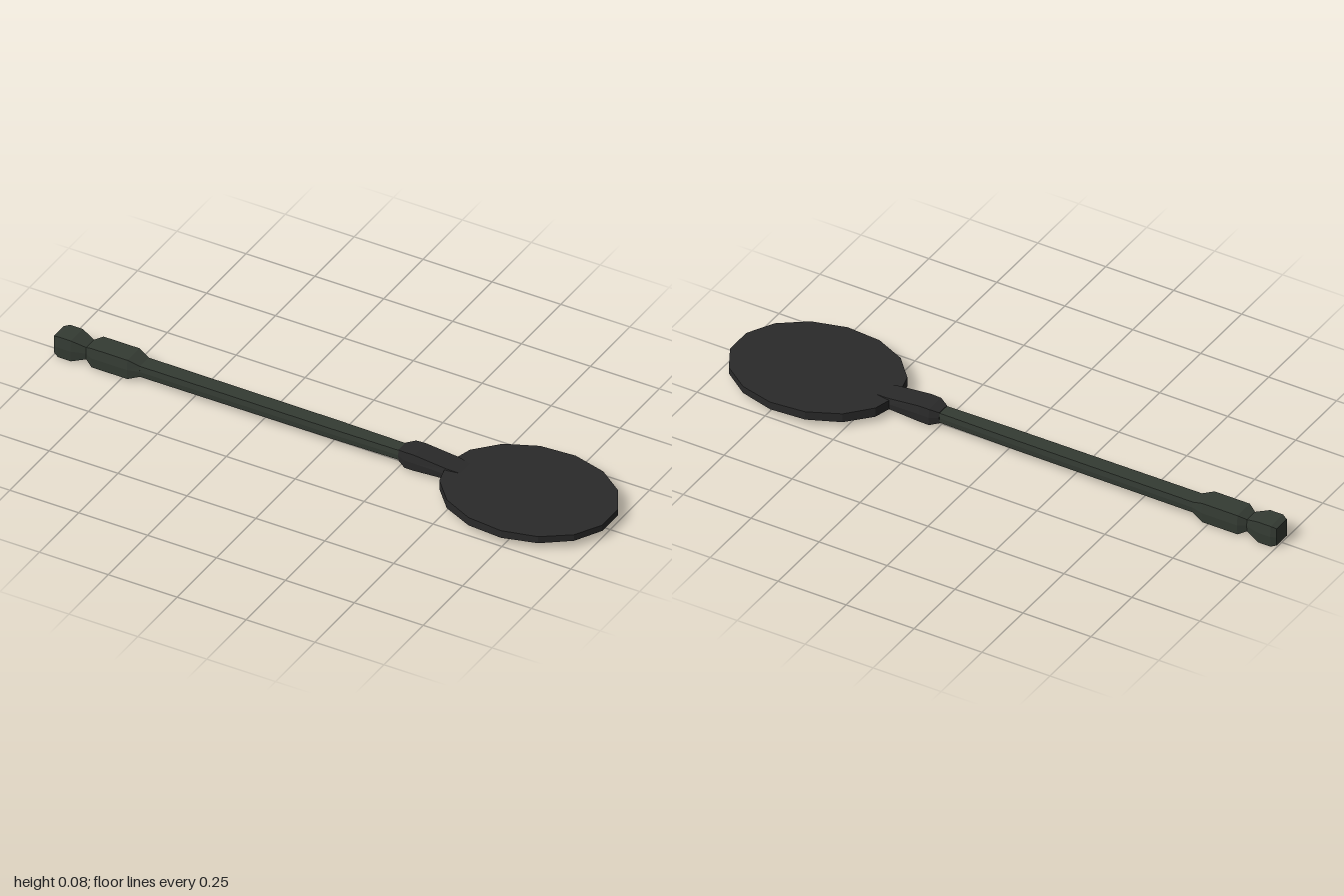
import * as THREE from 'three';

const green = new THREE.MeshStandardMaterial({ color: 0x343b33, flatShading: true });
const black = new THREE.MeshStandardMaterial({ color: 0x2a2a2a, flatShading: true });

// Joins rings of [x, y, z] points into a closed solid.
function loft(name, rings, material) {
  const n = rings[0].length, index = [];
  const points = rings.flat();
  for (let r = 0; r < rings.length - 1; r++) {
    for (let i = 0; i < n; i++) {
      const a = r * n + i, b = r * n + (i + 1) % n;
      index.push(a, b, a + n, b, b + n, a + n);
    }
  }
  // End caps fan out from the ring centres
  for (const [r, flip] of [[0, true], [rings.length - 1, false]]) {
    const c = points.length;
    points.push([0, 1, 2].map(k => rings[r].reduce((s, p) => s + p[k], 0) / n));
    for (let i = 0; i < n; i++) {
      const a = r * n + i, b = r * n + (i + 1) % n;
      index.push(c, flip ? b : a, flip ? a : b);
    }
  }
  const g = new THREE.BufferGeometry();
  g.setAttribute('position', new THREE.Float32BufferAttribute(points.flat(), 3));
  g.setIndex(index);
  const flat = g.toNonIndexed();
  flat.computeVertexNormals();
  const mesh = new THREE.Mesh(flat, material);
  mesh.name = name;
  return mesh;
}

// Six-sided bar section with slightly bulging sides.
function section([x, h, w, cy = 0.041]) {
  return [[1, 0.93], [0, 1], [-1, 0.93], [-1, -0.93], [0, -1], [1, -0.93]]
    .map(([u, v]) => [x, cy + u * h, -v * w]).reverse();
}

const bar = (name, stations, material) => loft(name, stations.map(section), material);

export function createModel() {
  const model = new THREE.Group();
  model.name = 'paddle';

  // Pommel and grip: x, half height, half width
  model.add(bar('pommel', [
    [-1, 0.032, 0.033], [-0.982, 0.039, 0.041], [-0.935, 0.039, 0.041], [-0.885, 0.022, 0.026],
  ], green));
  model.add(bar('grip', [
    [-0.888, 0.022, 0.026], [-0.86, 0.036, 0.041], [-0.73, 0.036, 0.041], [-0.69, 0.02, 0.03],
  ], green));
  model.add(bar('shaft', [[-0.71, 0.02, 0.03], [0, 0.019, 0.028], [0.27, 0.018, 0.024]], green));

  // Socket tapering into the blade
  model.add(bar('neck', [
    [0.245, 0.02, 0.025], [0.275, 0.03, 0.04], [0.31, 0.03, 0.041, 0.042],
    [0.43, 0.02, 0.041, 0.04], [0.5, 0.014, 0.03, 0.038],
  ], black));

  // Round blade: nearly flat top, shallow domed underside
  const sides = 15;
  const ring = (s, y, tilt) => Array.from({ length: sides }, (_, i) => {
    const t = (i + 0.5) / sides * Math.PI * 2, c = Math.cos(t);
    return [0.708 + 0.298 * s * c, y - tilt * c, -0.239 * s * Math.sin(t)];
  });
  model.add(loft('blade', [
    ring(0.45, 0.015, -0.001), ring(0.8, 0.018, -0.002), ring(1, 0.024, -0.003),
    ring(1, 0.052, 0.003), ring(0.7, 0.053, 0.002), ring(0.3, 0.053, 0.001),
  ], black));
  return model;
}
